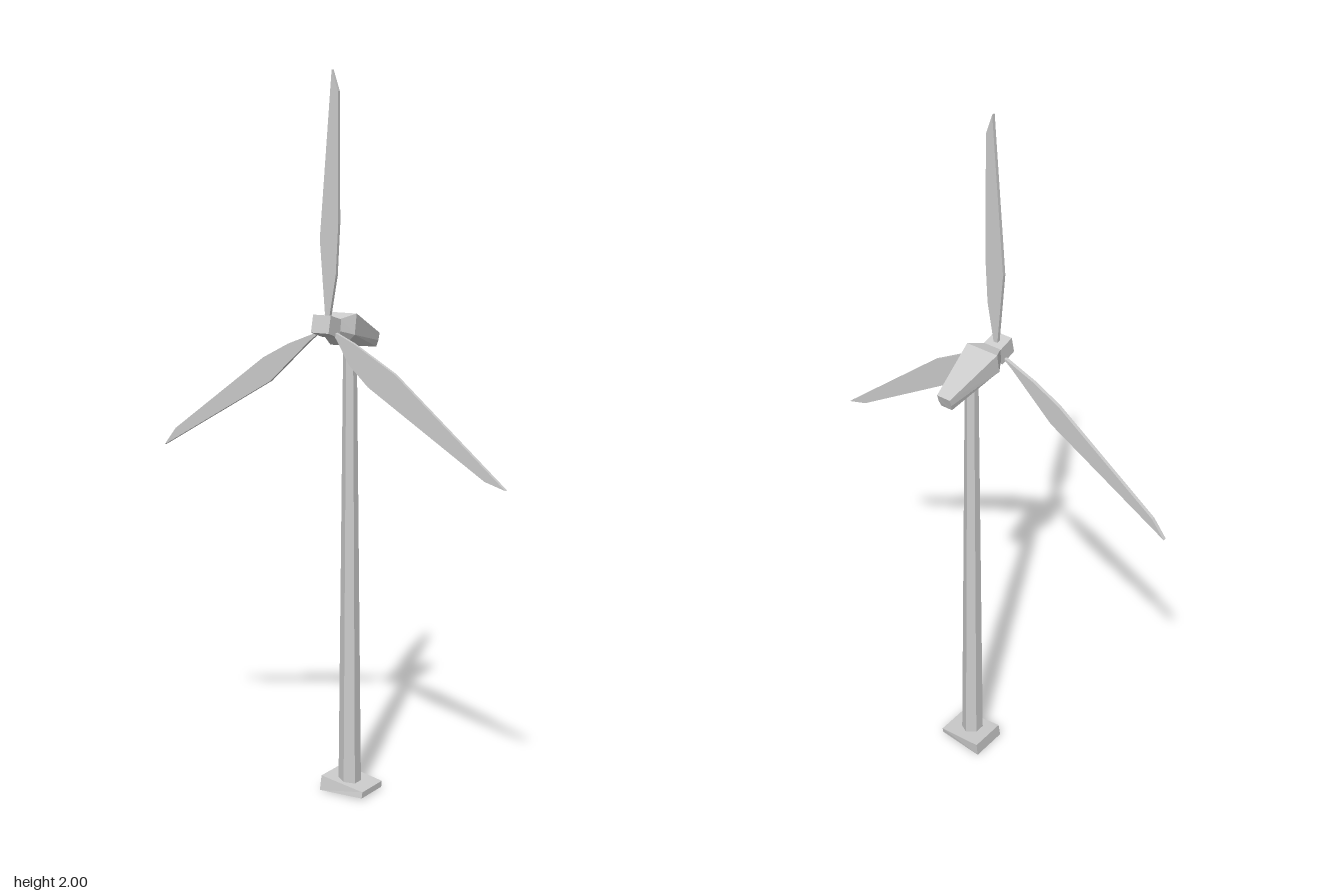
import * as THREE from 'three';

const material = new THREE.MeshStandardMaterial({ color: 0xcccccc, flatShading: true });

function addMesh(parent, name, geometry) {
  const mesh = new THREE.Mesh(geometry, material);
  mesh.name = name;
  parent.add(mesh);
  return mesh;
}

// Closed skin over rings of [x, y, z], ordered back to front, each counter-clockwise seen from the front
function loft(rings) {
  const n = rings[0].length, last = rings[rings.length - 1], out = [];
  const tri = (a, b, c) => out.push(...a, ...b, ...c);
  for (let i = 0; i + 1 < rings.length; i++) {
    for (let j = 0; j < n; j++) {
      const k = (j + 1) % n, r = rings[i], s = rings[i + 1];
      tri(r[j], r[k], s[k]);
      tri(r[j], s[k], s[j]);
    }
  }
  for (let j = 1; j + 1 < n; j++) {
    tri(last[0], last[j], last[j + 1]);
    tri(rings[0][0], rings[0][j + 1], rings[0][j]);
  }
  const geometry = new THREE.BufferGeometry();
  geometry.setAttribute('position', new THREE.Float32BufferAttribute(out, 3));
  geometry.computeVertexNormals();
  return geometry;
}

// Six-sided housing section: upright upper sides, chamfered lower sides
function section(halfWidth, halfBottom, top, mid, bottom, zTop, zBottom) {
  const cx = 0.005, zMid = (zTop + zBottom) / 2;
  return [
    [cx - halfBottom, bottom, zBottom], [cx + halfBottom, bottom, zBottom],
    [cx + halfWidth, mid, zMid], [cx + halfWidth, top, zTop],
    [cx - halfWidth, top, zTop], [cx - halfWidth, mid, zMid],
  ];
}

// Thin flat blade from its outline in the rotor plane
function blade(parent, name, outline) {
  const shape = new THREE.Shape(outline.map(([x, y]) => new THREE.Vector2(x, y)));
  const geometry = new THREE.ExtrudeGeometry(shape, { depth: 0.01, bevelEnabled: false });
  addMesh(parent, name, geometry).position.z = 0.088;
}

export function createModel() {
  const model = new THREE.Group();
  model.name = 'windTurbine';

  // Sloping foundation block
  addMesh(model, 'base', loft([
    [[-0.065, 0, -0.08], [0.076, 0.005, -0.072], [0.076, 0.022, -0.075], [-0.063, 0.042, -0.083]],
    [[-0.065, 0, 0.032], [0.076, 0.005, 0.032], [0.076, 0.022, 0.028], [-0.063, 0.042, 0.026]],
  ]));

  // Tapered hexagonal tower
  const tower = addMesh(model, 'tower', new THREE.CylinderGeometry(0.0185, 0.032, 1.27, 6));
  tower.position.set(0.004, 0.655, -0.018);

  // Housing and the neck narrowing to the hub
  addMesh(model, 'nacelle', loft([
    section(0.021, 0.018, 1.297, 1.277, 1.26, -0.135, -0.122),
    section(0.05, 0.022, 1.366, 1.31, 1.28, 0.028, 0.047),
    section(0.027, 0.018, 1.354, 1.322, 1.305, 0.072, 0.08),
  ]));

  // Rotor hub, tilted slightly upwards
  const rotor = new THREE.Group();
  rotor.name = 'rotor';
  model.add(rotor);
  addMesh(rotor, 'hub', loft([
    section(0.028, 0.028, 1.352, 1.328, 1.304, 0.067, 0.08),
    section(0.028, 0.028, 1.367, 1.344, 1.32, 0.12, 0.131),
  ]));

  // Three blades
  blade(rotor, 'topBlade', [
    [0.002, 1.34], [0.01, 1.34], [0.034, 1.47], [0.042, 1.605],
    [0.041, 1.945], [0.022, 2.0], [-0.016, 1.565],
  ]);
  blade(rotor, 'rightBlade', [
    [-0.015, 1.32], [-0.03, 1.316], [-0.12, 1.281], [-0.203, 1.238],
    [-0.513, 1.013], [-0.553, 0.962], [-0.18, 1.174], [-0.05, 1.293],
  ]);
  blade(rotor, 'leftBlade', [
    [0.02, 1.325], [0.04, 1.295], [0.075, 1.237], [0.135, 1.182],
    [0.485, 0.968], [0.545, 0.951], [0.217, 1.222], [0.09, 1.294],
  ]);

  return model;
}
